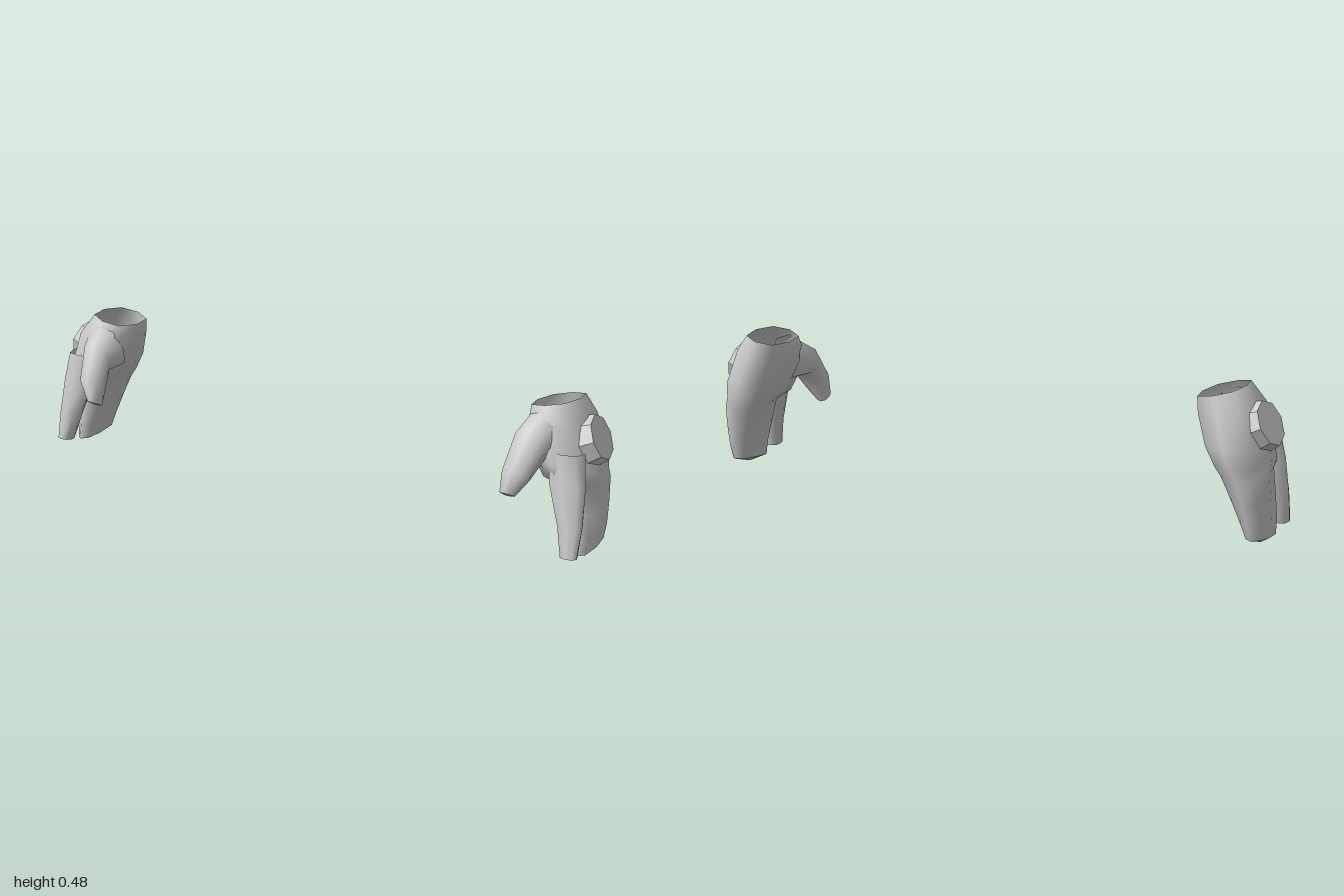
import * as THREE from 'three';

const SIDES = 8;
const skin = new THREE.MeshStandardMaterial({ color: 0xcccccc, side: THREE.DoubleSide });
const hard = new THREE.MeshStandardMaterial({ color: 0xcccccc, flatShading: true });

// Rings run from root to tip: [front y, front z, back y, back z, min x, max x, slope of y over x]
const PALM = [
  [0.472, 0.035, 0.458, -0.155, 0.75, 0.89, 0.22],
  [0.41, 0.075, 0.41, -0.167, 0.752, 0.93, 0.15],
  [0.31, 0.088, 0.31, -0.19, 0.785, 0.965, 0],
  [0.26, 0.08, 0.25, -0.18, 0.815, 0.97, 0],
  [0.235, 0.022, 0.22, -0.173, 0.84, 0.975, 0],
  [0.15, 0.027, 0.15, -0.158, 0.872, 0.978, 0],
  [0.08, 0.033, 0.08, -0.142, 0.9, 0.978, 0],
  [0.025, 0.037, 0.037, -0.13, 0.915, 0.972, 0],
];
const FINGER = [
  [0.35, 0.08, 0.35, -0.01, 0.84, 0.955, 0],
  [0.255, 0.092, 0.25, 0.022, 0.855, 0.972, 0],
  [0.14, 0.11, 0.135, 0.048, 0.9, 0.978, 0],
  [0.05, 0.126, 0.042, 0.075, 0.925, 0.975, 0],
];
const THUMB = [
  [0.455, 0.04, 0.3, -0.03, 0.76, 0.89, 0],
  [0.41, 0.105, 0.31, 0.075, 0.75, 0.86, 0],
  [0.305, 0.172, 0.258, 0.105, 0.745, 0.83, 0],
  [0.235, 0.177, 0.21, 0.13, 0.748, 0.79, 0],
];

// Smooth loft through the rings, open at the root, with a sharp-edged cap at the tip
function loft(name, rings, side, tipDrop = 0) {
  const pos = [], idx = [];
  const round = v => Math.sign(v) * Math.pow(Math.abs(v), 0.78);
  const face = (a, b, c) => (side > 0 ? idx.push(a, b, c) : idx.push(a, c, b));
  const addRing = ([ya, za, yb, zb, x0, x1, slope]) => {
    for (let j = 0; j < SIDES; j++) {
      const t = (j / SIDES) * Math.PI * 2;
      const dx = round(Math.cos(t)) * (x1 - x0) / 2;
      const k = (1 - round(Math.sin(t))) / 2;
      pos.push(side * ((x0 + x1) / 2 + dx), ya + (yb - ya) * k + slope * dx, za + (zb - za) * k);
    }
  };
  rings.forEach(addRing);
  for (let i = 0; i < rings.length - 1; i++) {
    for (let j = 0; j < SIDES; j++) {
      const a = i * SIDES + j, b = i * SIDES + (j + 1) % SIDES;
      face(a, b, a + SIDES);
      face(b, b + SIDES, a + SIDES);
    }
  }
  const tip = rings[rings.length - 1], start = pos.length / 3;
  addRing(tip);
  pos.push(side * (tip[4] + tip[5]) / 2, (tip[0] + tip[2]) / 2 - tipDrop, (tip[1] + tip[3]) / 2);
  for (let j = 0; j < SIDES; j++) face(start + SIDES, start + j, start + (j + 1) % SIDES);
  const geo = new THREE.BufferGeometry();
  geo.setAttribute('position', new THREE.Float32BufferAttribute(pos, 3));
  geo.setIndex(idx);
  geo.computeVertexNormals();
  const mesh = new THREE.Mesh(geo, skin);
  mesh.name = name;
  return mesh;
}

function makeHand(side) {
  const hand = new THREE.Group();
  hand.name = side > 0 ? 'leftHand' : 'rightHand';
  hand.add(
    loft('palmAndFingers', PALM, side, 0.017),
    loft('indexFinger', FINGER, side, 0.004),
    loft('thumb', THUMB, side, 0.004),
  );
  // Bevelled eight-sided plate on the back of the hand
  const plate = new THREE.Mesh(new THREE.CylinderGeometry(0.07, 0.081, 0.05, 8), hard);
  plate.name = 'backPlate';
  plate.position.set(side * 0.943, 0.366, -0.052);
  plate.quaternion.setFromUnitVectors(
    new THREE.Vector3(0, 1, 0),
    new THREE.Vector3(side * 0.9, 0.4, -0.08).normalize(),
  );
  hand.add(plate);
  return hand;
}

export function createModel() {
  const model = new THREE.Group();
  model.name = 'pairOfHands';
  const left = makeHand(1), right = makeHand(-1);
  // The right hand hangs slightly lower and further forward
  right.position.set(0, -0.013, 0.014);
  model.add(left, right);
  return model;
}
